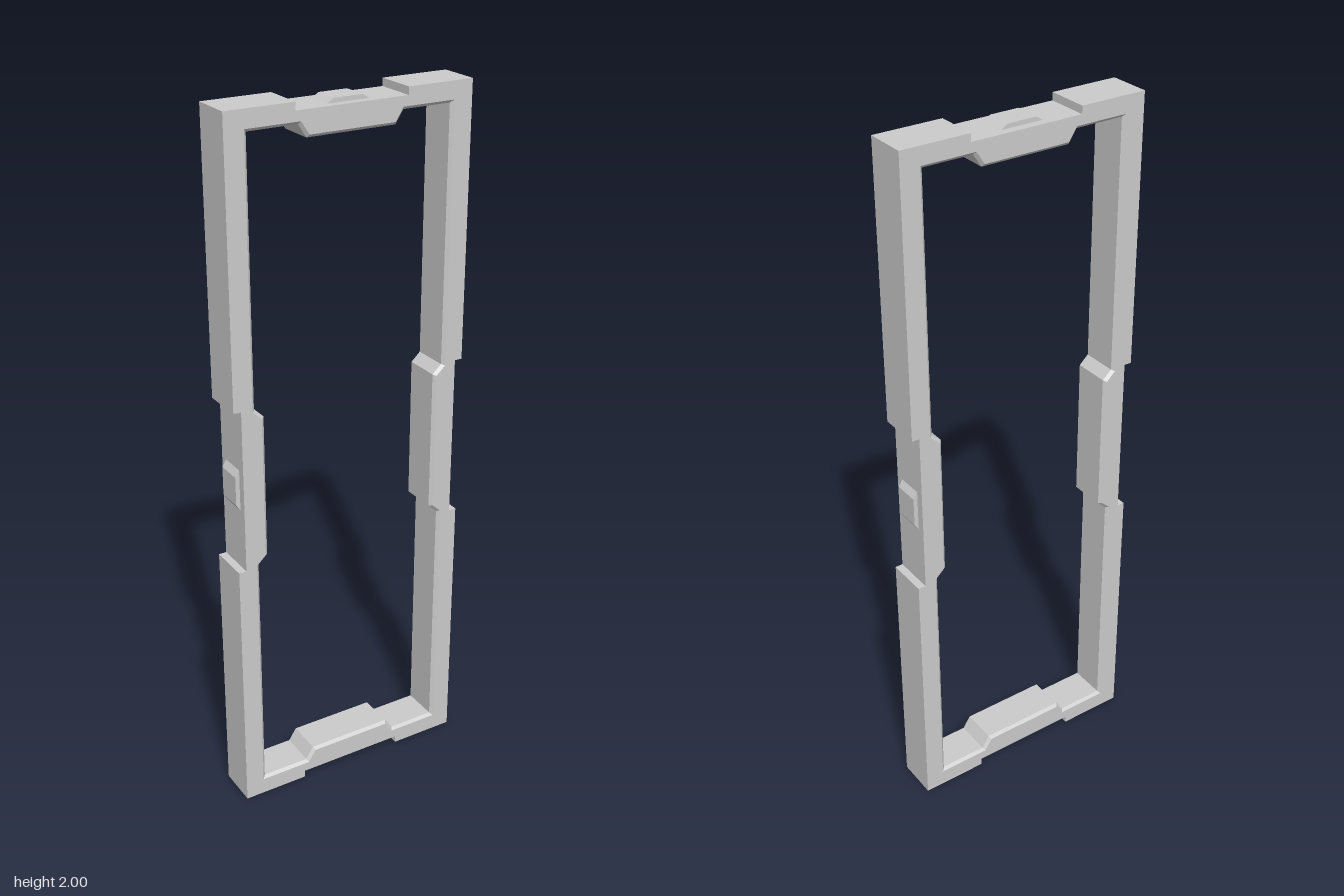
import * as THREE from 'three';

const DEPTH = 0.06;    // half thickness of the frame
const CHAMFER = 0.008; // softened inner edges
const V = (x, y) => new THREE.Vector2(x, y);

// Mirror a first-quadrant outline into a full counter-clockwise loop
function mirrorLoop(quarter) {
  const part = (sx, sy) => {
    const p = quarter.map(([x, y]) => V(x * sx, y * sy));
    return sx * sy < 0 ? p.reverse() : p;
  };
  return [...part(1, 1), ...part(-1, 1), ...part(-1, -1), ...part(1, -1)];
}

// Push a counter-clockwise loop outwards by d with mitred corners
function offsetLoop(loop, d) {
  const n = loop.length;
  const normal = (a, b) => V(b.y - a.y, a.x - b.x).normalize();
  return loop.map((p, i) => {
    const n1 = normal(loop[(i + n - 1) % n], p);
    const n2 = normal(p, loop[(i + 1) % n]);
    return n1.clone().add(n2).multiplyScalar(d / (1 + n1.dot(n2))).add(p);
  });
}

// Wall between loop a at za and loop b at zb; faces outwards when zb > za
function wall(a, za, b, zb) {
  const pos = [];
  a.forEach((p, i) => {
    const j = (i + 1) % a.length;
    const q = a[j], r = b[j], s = b[i];
    pos.push(p.x, p.y, za, q.x, q.y, za, r.x, r.y, zb);
    pos.push(p.x, p.y, za, r.x, r.y, zb, s.x, s.y, zb);
  });
  const g = new THREE.BufferGeometry();
  g.setAttribute('position', new THREE.Float32BufferAttribute(pos, 3));
  g.computeVertexNormals();
  return g;
}

export function createModel() {
  const model = new THREE.Group();
  model.name = 'rectangularFrame';
  const material = new THREE.MeshStandardMaterial({ color: 0xcccccc, flatShading: true });
  const add = (name, geometry, parent = model) => {
    const mesh = new THREE.Mesh(geometry, material);
    mesh.name = name;
    parent.add(mesh);
    return mesh;
  };

  // Frame body: notched outside, thickened towards the opening behind each notch
  const frame = new THREE.Group();
  frame.name = 'frame';
  frame.position.y = 1;
  model.add(frame);
  const outer = mirrorLoop([[0.331, 0.235], [0.353, 0.235], [0.353, 1], [0.16, 1], [0.16, 0.979]]);
  const inner = mirrorLoop([[0.263, 0.205], [0.29, 0.23], [0.29, 0.944], [0.15, 0.944], [0.127, 0.909]]);
  const rim = offsetLoop(inner, CHAMFER);

  const face = new THREE.Shape(outer);
  face.holes.push(new THREE.Path(rim));
  add('frontFace', new THREE.ShapeGeometry(face).translate(0, 0, DEPTH), frame);
  add('backFace', new THREE.ShapeGeometry(face).rotateY(Math.PI).translate(0, 0, -DEPTH), frame);
  add('outerWall', wall(outer, -DEPTH, outer, DEPTH), frame);

  // Inner wall with a chamfer at the front and the back
  const flat = DEPTH - CHAMFER;
  add('innerFrontChamfer', wall(rim, DEPTH, inner, flat), frame);
  add('innerWall', wall(inner, flat, inner, -flat), frame);
  add('innerBackChamfer', wall(inner, -flat, rim, -DEPTH), frame);

  // Tapered locating tab in the middle of each notch
  const profile = new THREE.Shape([V(-0.06, -0.003), V(0.06, -0.003), V(0.06, 0), V(0.041, 0.012), V(-0.041, 0.012), V(-0.06, 0)]);
  const tab = new THREE.ExtrudeGeometry(profile, { depth: 0.074, bevelEnabled: false }).translate(0, 0, -0.037);
  [['topTab', 0, 0.979, 0], ['leftTab', 0.331, 0, -Math.PI / 2],
    ['bottomTab', 0, -0.979, Math.PI], ['rightTab', -0.331, 0, Math.PI / 2]].forEach(([name, x, y, turn]) => {
    const mesh = add(name, tab, frame);
    mesh.position.set(x, y, 0);
    mesh.rotation.z = turn;
  });

  return model;
}
